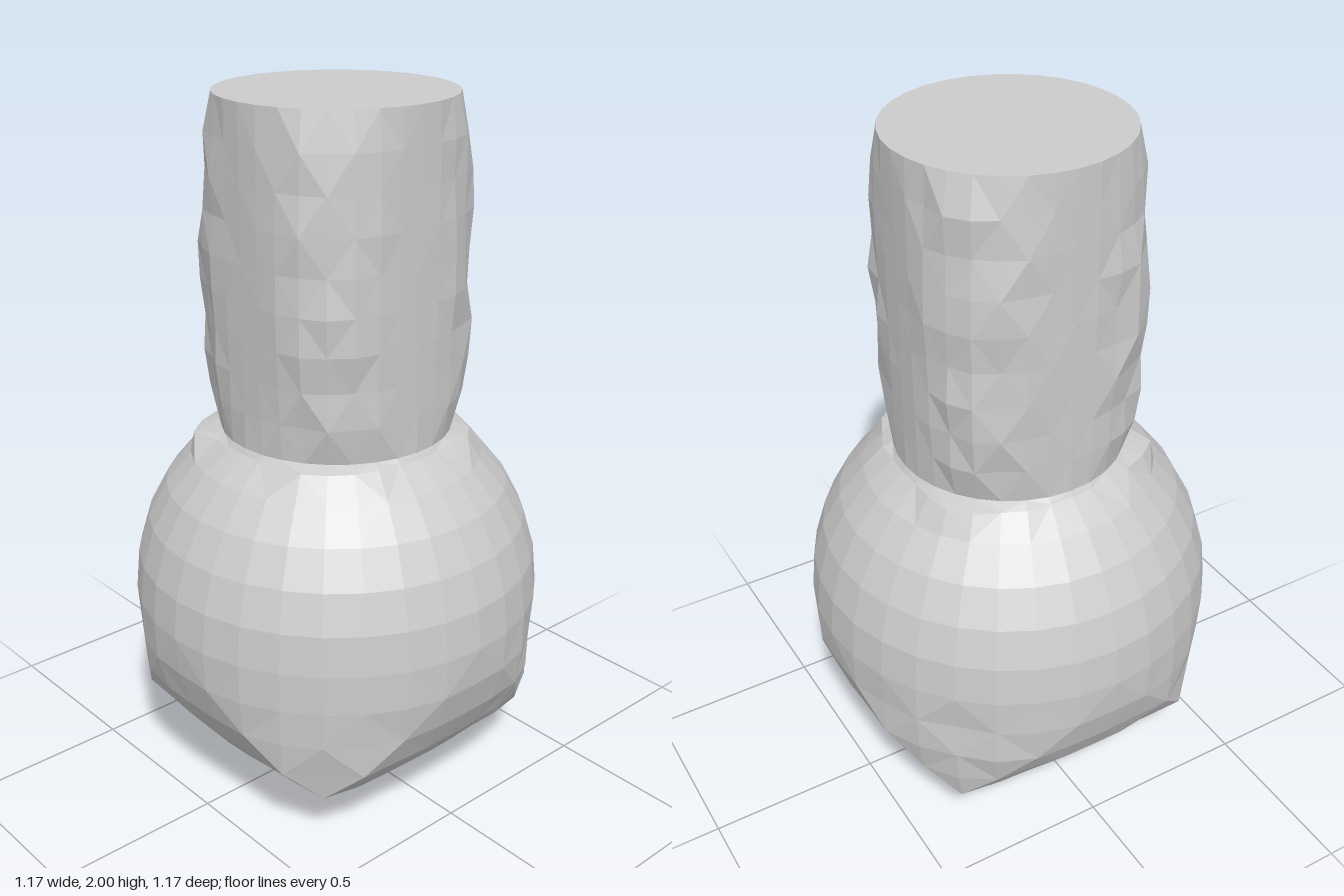
import * as THREE from 'three';

const SIDES = 32, R = 0.585, CENTRE = 0.59, NECK = 0.325, NECK_BASE = 1.08;

// Seeded noise in -1..1
function makeRandom(seed) {
  return () => {
    seed = (seed * 16807) % 2147483647;
    return (seed / 2147483647) * 2 - 1;
  };
}

// Faceted skin through rings listed from bottom to top; each ring is { y, radius(angle) }
function skin(rings, name, material) {
  const pos = [], index = [];
  for (const ring of rings) {
    for (let i = 0; i < SIDES; i++) {
      const a = (i / SIDES) * Math.PI * 2;
      const r = ring.radius(a);
      pos.push(Math.cos(a) * r, ring.y, Math.sin(a) * r);
    }
  }
  for (let j = 0; j < rings.length - 1; j++) {
    for (let i = 0; i < SIDES; i++) {
      const a = j * SIDES + i, b = j * SIDES + (i + 1) % SIDES;
      const c = a + SIDES, d = b + SIDES;
      if ((i + j) % 2) index.push(a, c, b, b, c, d);
      else index.push(a, d, b, a, c, d);
    }
  }
  const g = new THREE.BufferGeometry();
  g.setAttribute('position', new THREE.Float32BufferAttribute(pos, 3));
  g.setIndex(index);
  const flat = g.toNonIndexed();
  flat.computeVertexNormals();
  const mesh = new THREE.Mesh(flat, material);
  mesh.name = name;
  return mesh;
}

// 0 on the axes, 1 on the diagonals
const diagonal = (a) => Math.sin(2 * a) ** 2;

export function createModel() {
  const group = new THREE.Group();
  group.name = 'roundBottle';
  const material = new THREE.MeshStandardMaterial({ color: 0xcccccc, flatShading: true });
  const random = makeRandom(4711);

  // Bulb: a sphere above, swelling to blunt diagonal corners below
  const bulb = [];
  for (let k = 0; k <= 12; k++) {
    const lat = -Math.PI / 2 + (k * Math.PI) / 16;
    const w = R * Math.cos(lat);
    const swell = k < 8 ? 0.75 : 0;
    bulb.push({
      y: CENTRE + R * Math.sin(lat),
      radius: (a) => {
        const box = Math.min(R, w / Math.max(Math.abs(Math.cos(a)), Math.abs(Math.sin(a))));
        const rough = k > 0 && k < 8 ? random() * 0.012 * diagonal(a) : 0;
        return Math.min(R, w + (box - w) * swell + rough);
      },
    });
  }
  // Ragged shoulder under the neck
  bulb.push({ y: 1.065, radius: (a) => 0.335 + (0.06 + 0.04 * random()) * diagonal(a) ** 2 });
  bulb.push({ y: NECK_BASE, radius: () => NECK });
  bulb.push({ y: NECK_BASE, radius: () => 0 });
  group.add(skin(bulb, 'bulb', material));

  // Neck: round at both ends, slightly swollen and rough on the diagonals
  const neck = [{ y: NECK_BASE, radius: () => 0 }, { y: NECK_BASE, radius: () => NECK }];
  const STEPS = 9;
  for (let k = 1; k < STEPS; k++) {
    const t = k / STEPS;
    const bulge = 0.04 * Math.sin(Math.PI * t) ** 0.6;
    neck.push({
      y: NECK_BASE + (2 - NECK_BASE) * t,
      radius: (a) => NECK + (bulge + 0.013 * random()) * diagonal(a),
    });
  }
  neck.push({ y: 2, radius: () => NECK }, { y: 2, radius: () => 0 });
  group.add(skin(neck, 'neck', material));

  return group;
}
